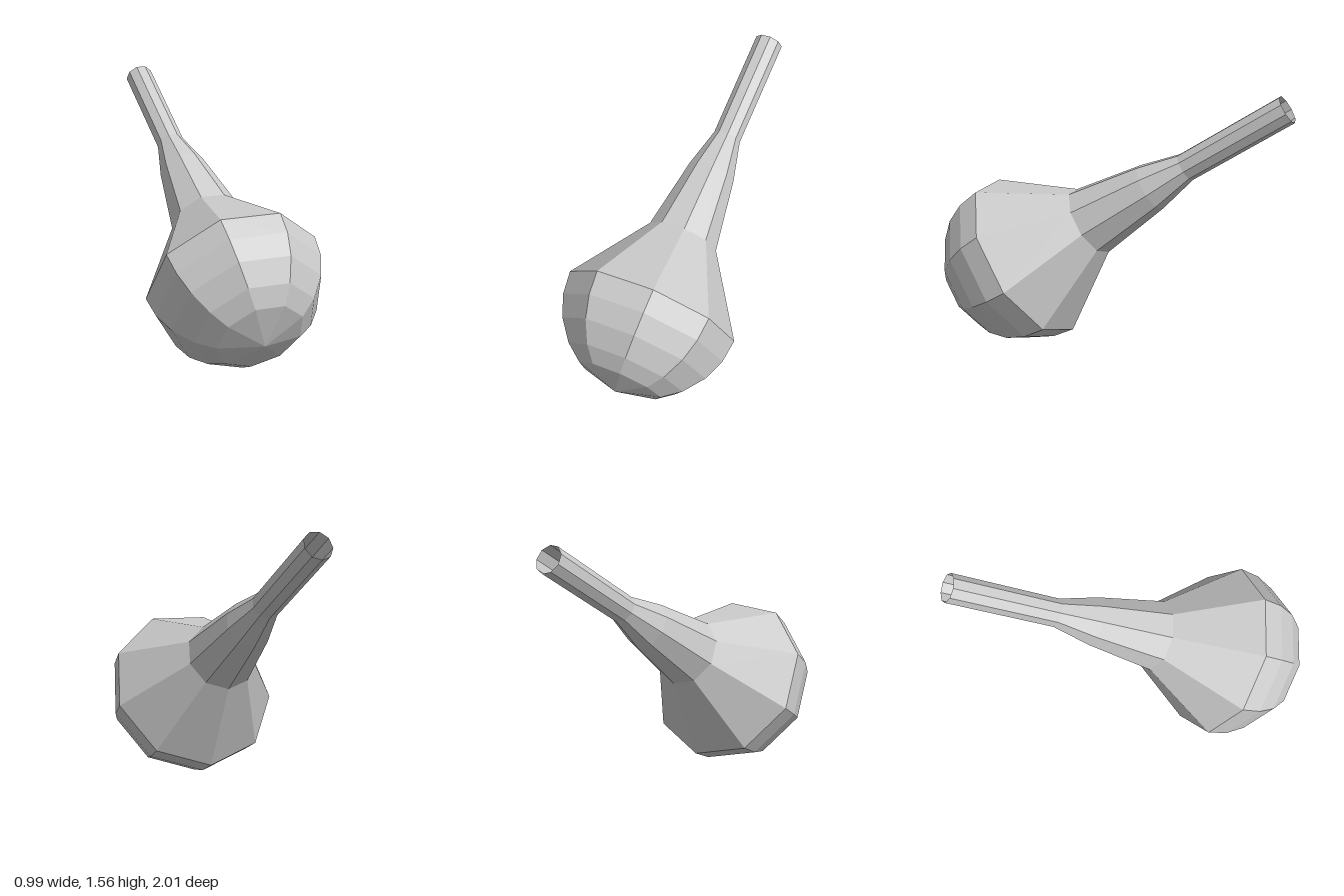
import * as THREE from 'three';

const SIDES = 9;
const RADIUS = 0.513;

export function createModel() {
  const group = new THREE.Group();
  group.name = 'bulbWithStem';
  const material = new THREE.MeshStandardMaterial({
    color: 0xcccccc, flatShading: true, side: THREE.DoubleSide,
  });

  // Each part is a nine-sided lathe; profile points are [radius, distance along axis]
  const addPart = (name, profile) => {
    const points = profile.map(([r, t]) => new THREE.Vector2(r, t));
    const mesh = new THREE.Mesh(new THREE.LatheGeometry(points, SIDES), material);
    mesh.name = name;
    group.add(mesh);
  };

  // Faceted hemisphere, from the pole to the widest ring
  addPart('bulb', [0, 29.5, 43.5, 60, 75, 90].map((deg) => {
    const a = THREE.MathUtils.degToRad(deg);
    return [RADIUS * Math.sin(a), RADIUS * (1 - Math.cos(a))];
  }));

  // Cone closing the bulb toward the neck
  addPart('shoulder', [[RADIUS, RADIUS], [0.21, 0.972]]);

  // Tapering neck
  addPart('neck', [[0.21, 0.972], [0.142, 1.404], [0.083, 1.645]]);

  // Straight open tube
  addPart('stem', [[0.083, 1.645], [0.084, 2.315]]);

  // Lean the whole body: its axis runs up, back and to the left
  const axis = new THREE.Vector3(0.235, 0.543, -0.806).normalize();
  const ridge = new THREE.Vector3(0.156, 0.8, 0.573);
  const side = new THREE.Vector3().crossVectors(axis, ridge).normalize();
  ridge.crossVectors(side, axis);
  group.quaternion.setFromRotationMatrix(new THREE.Matrix4().makeBasis(side, axis, ridge));
  group.position.set(-0.13, 0.24, 0.91);

  const model = new THREE.Group();
  model.name = 'model';
  model.add(group);
  return model;
}
